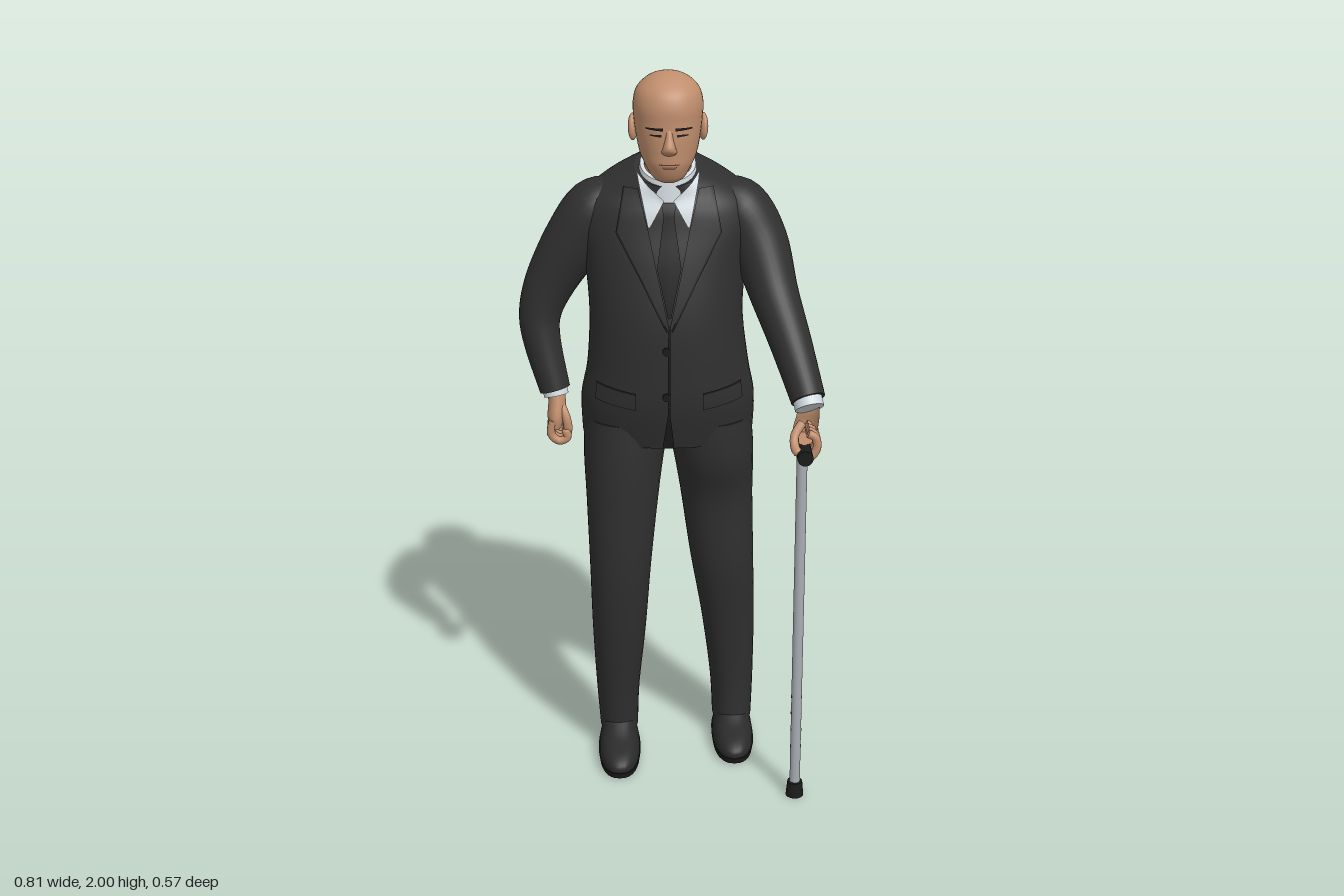
import * as THREE from 'three';

const mat = (name, color, side = THREE.FrontSide) => {
  const m = new THREE.MeshStandardMaterial({ color, side });
  m.name = name;
  return m;
};

export function createModel() {
  const M = {
    suit: mat('charcoal suit', 0x2f2f2f, THREE.DoubleSide),
    trim: mat('black trim', 0x1b1b1c, THREE.DoubleSide),
    shoe: mat('shoe leather', 0x2a2a2b),
    skin: mat('skin', 0xc08e6d),
    lips: mat('lips', 0x94604c, THREE.DoubleSide),
    shirt: mat('shirt white', 0xd3dbe0, THREE.DoubleSide),
    metal: mat('cane metal', 0xa6aab0),
  };
  const root = new THREE.Group();
  const add = (name, geo, material, parent = root) => {
    const mesh = new THREE.Mesh(geo, material);
    mesh.name = name;
    parent.add(mesh);
    return mesh;
  };

  // Catmull-Rom through rows of numbers
  const smooth = (rows, sub) => {
    const out = [], n = rows.length - 1;
    for (let i = 0; i <= n * sub; i++) {
      const k = Math.min(Math.floor(i / sub), n - 1), t = i / sub - k;
      const [a, b, c, d] = [k - 1, k, k + 1, k + 2].map(j => rows[Math.max(0, Math.min(n, j))]);
      out.push(b.map((_, q) => 0.5 * (2 * b[q] + (c[q] - a[q]) * t
        + (2 * a[q] - 5 * b[q] + 4 * c[q] - d[q]) * t * t
        + (3 * b[q] - a[q] - 3 * c[q] + d[q]) * t * t * t)));
    }
    return out;
  };

  // Loft of superellipse sections [x, y, z, rx, rz, tilt]; "along" turns rings to the path
  const loft = (sections, { along = false, power = 2, seg = 32, sub = 5 } = {}) => {
    const rows = smooth(sections.map(s => [...s, 0].slice(0, 6)), sub);
    const pos = [], idx = [], N = rows.length;
    const rings = rows.map((r, i) => {
      const c = new THREE.Vector3(r[0], r[1], r[2]);
      const p = rows[Math.max(0, i - 1)], q = rows[Math.min(N - 1, i + 1)];
      const T = along ? new THREE.Vector3(q[0] - p[0], q[1] - p[1], q[2] - p[2]).normalize()
        : new THREE.Vector3(0, 1, 0);
      const u = new THREE.Vector3(0, 0, 1).cross(T).normalize(), v = u.clone().cross(T);
      const pe = x => Math.sign(x) * Math.abs(x) ** (2 / power);
      return Array.from({ length: seg }, (_, j) => {
        const a = j / seg * Math.PI * 2;
        const w = c.clone().addScaledVector(u, pe(Math.cos(a)) * r[3]).addScaledVector(v, pe(Math.sin(a)) * r[4]);
        w.y += r[5] * (w.z - c.z);
        return w;
      });
    });
    rings.forEach(ring => ring.forEach(w => pos.push(w.x, w.y, w.z)));
    for (let i = 0; i < N - 1; i++) for (let j = 0; j < seg; j++) {
      const a = i * seg + j, b = i * seg + (j + 1) % seg;
      idx.push(a, a + seg, b, b, a + seg, b + seg);
    }
    [0, N - 1].forEach(i => {
      const s = pos.length / 3;
      rings[i].forEach(w => pos.push(w.x, w.y, w.z));
      pos.push(...rows[i].slice(0, 3));
      for (let j = 0; j < seg; j++) {
        const k = (j + 1) % seg;
        idx.push(s + seg, ...(i ? [s + k, s + j] : [s + j, s + k]));
      }
    });
    return build(pos, idx);
  };
  const build = (pos, idx) => {
    const g = new THREE.BufferGeometry();
    g.setAttribute('position', new THREE.Float32BufferAttribute(pos, 3));
    g.setIndex(idx);
    g.computeVertexNormals();
    return g;
  };

  // Thin cloth patch between two [x, y] edges, laid on the front or back of other meshes
  const ray = new THREE.Raycaster();
  const patch = (A, B, targets, lift = 0.006, dir = 1) => {
    const at = (P, t) => {
      const f = t * (P.length - 1), k = Math.min(Math.floor(f), P.length - 2);
      return [0, 1].map(q => P[k][q] + (P[k + 1][q] - P[k][q]) * (f - k));
    };
    const R = 12, C = 6, pos = [], idx = [];
    for (let i = 0; i <= R; i++) for (let j = 0; j <= C; j++) {
      const [x, y] = at([at(A, i / R), at(B, i / R)], j / C);
      ray.set(new THREE.Vector3(x, y, 2 * dir), new THREE.Vector3(0, 0, -dir));
      const hit = ray.intersectObjects(targets, false)[0];
      pos.push(x, y, (hit ? hit.point.z : -0.06) + lift * dir);
      if (i < R && j < C) {
        const a = i * (C + 1) + j, b = a + C + 1;
        idx.push(...(dir > 0 ? [a, b, a + 1, a + 1, b, b + 1] : [a, a + 1, b, a + 1, b + 1, b]));
      }
    }
    return build(pos, idx);
  };
  const flip = (P, s) => P.map(([x, y]) => [x * s, y]);
  const pair = (name, A, B, targets, material, lift) => [-1, 1].forEach(s => {
    const [a, b] = [flip(A, s), flip(B, s)];
    add(name, s < 0 ? patch(a, b, targets, lift) : patch(b, a, targets, lift), material);
  });

  // Trousers
  add('rightTrouserLeg', loft([[-.143, .065, -.095, .055, .085], [-.145, .2, -.083, .062, .088],
    [-.14, .4, -.057, .076, .094], [-.135, .6, -.042, .086, .1], [-.128, .8, -.06, .1, .118],
    [-.122, .93, -.095, .112, .15], [-.11, 1.05, -.105, .12, .15]], { power: 2.2 }), M.suit);
  add('leftTrouserLeg', loft([[.19, .065, -.15, .057, .092], [.188, .2, -.15, .063, .09],
    [.175, .4, -.133, .076, .093], [.155, .6, -.113, .09, .103], [.138, .8, -.12, .102, .118],
    [.127, .93, -.11, .113, .145], [.11, 1.05, -.105, .12, .15]], { power: 2.2 }), M.suit);

  // Shoes
  [['rightShoe', -.143, -.018], ['leftShoe', .19, -.09]].forEach(([name, x, z]) => {
    add(name + 'Sole', loft([[x, .004, z, .058, .152], [x, .022, z, .061, .157]], { power: 2.4 }), M.trim);
    add(name, loft([[x, .02, z, .059, .154], [x, .04, z, .058, .15], [x, .06, z - .012, .053, .132],
      [x, .08, z - .04, .048, .098], [x, .11, z - .065, .045, .07]], { power: 2.3 }), M.shoe);
  });

  // Jacket body
  const jacket = add('jacketBody', loft([[0, .99, -.115, .236, .165], [0, 1.1, -.1, .238, .175],
    [0, 1.2, -.092, .22, .172], [-.005, 1.35, -.092, .208, .167], [-.005, 1.5, -.105, .22, .152],
    [0, 1.6, -.115, .238, .138, -.1], [0, 1.665, -.115, .215, .125, -.2],
    [0, 1.71, -.11, .155, .105, -.3], [0, 1.742, -.09, .088, .086, -.4]],
  { power: 2.25, seg: 48 }), M.suit);

  // Sleeves
  add('rightSleeve', loft([[-.13, 1.655, -.125, .05, .06], [-.19, 1.62, -.13, .08, .09],
    [-.25, 1.53, -.13, .083, .088], [-.315, 1.42, -.125, .07, .072], [-.347, 1.33, -.115, .058, .062],
    [-.343, 1.25, -.1, .051, .056], [-.31, 1.12, -.072, .042, .048]], { along: true }), M.suit);
  add('leftSleeve', loft([[.13, 1.655, -.12, .05, .06], [.19, 1.62, -.12, .08, .09],
    [.243, 1.53, -.09, .08, .088], [.282, 1.41, -.015, .066, .07], [.322, 1.3, .075, .056, .06],
    [.363, 1.175, .17, .046, .05]], { along: true }), M.suit);

  // Shirt cuffs and collar
  add('rightCuff', loft([[-.313, 1.135, -.075, .034, .04], [-.307, 1.105, -.068, .034, .04]], { along: true }), M.shirt);
  add('leftCuff', loft([[.36, 1.18, .165, .039, .042], [.366, 1.155, .183, .039, .042]], { along: true }), M.shirt);
  const collar = add('shirtCollar', loft([[0, 1.7, -.085, .083, .086, -.4], [0, 1.752, -.083, .074, .079, -.4]]), M.shirt);

  // Jacket front and back details
  const body = [jacket];
  add('tie', patch([[-.02, 1.665], [-.014, 1.63], [-.032, 1.5], [-.004, 1.37]],
    [[.02, 1.665], [.014, 1.63], [.032, 1.5], [.004, 1.37]], body, .005), M.trim);
  pair('lapel', [[-.115, 1.7], [-.135, 1.59], [-.07, 1.47], [-.006, 1.34]],
    [[-.08, 1.7], [-.055, 1.6], [-.03, 1.48], [0, 1.34]], body, M.suit, .009);
  pair('lapelEdge', [[-.119, 1.7], [-.14, 1.588], [-.075, 1.468], [-.009, 1.335]],
    [[-.112, 1.7], [-.13, 1.59], [-.067, 1.47], [-.005, 1.335]], body, M.trim, .007);
  pair('collarWing', [[-.083, 1.735], [-.055, 1.605]], [[-.012, 1.672], [-.05, 1.605]], [jacket, collar], M.shirt, .012);
  pair('pocketFlap', [[-.195, 1.17], [-.2, 1.125]], [[-.09, 1.155], [-.09, 1.11]], body, M.suit, .008);
  pair('pocketSeam', [[-.195, 1.175], [-.195, 1.169]], [[-.09, 1.16], [-.09, 1.154]], body, M.trim, .009);
  add('frontClosure', patch([[-.004, 1.35], [-.004, 1.1], [-.018, .995]],
    [[.002, 1.35], [.002, 1.1], [.014, .995]], body, .004), M.trim);
  add('backVent', patch([[-.004, 1.2], [-.007, .995]], [[.004, 1.2], [.007, .995]], body, .004, -1), M.trim);
  [1.28, 1.15].forEach(y => {
    const b = add('button', new THREE.CylinderGeometry(.011, .011, .008, 16), M.trim);
    b.rotation.x = Math.PI / 2;
    b.position.set(-.008, y, .082);
  });

  // Head and neck
  add('neck', loft([[0, 1.68, -.085, .066, .068], [0, 1.75, -.08, .063, .066], [0, 1.83, -.075, .065, .07]]), M.skin);
  const head = add('head', loft([[0, 1.722, -.005, .02, .02], [0, 1.735, -.01, .042, .045],
    [0, 1.77, -.03, .064, .08], [0, 1.8, -.05, .077, .102], [0, 1.84, -.057, .085, .11],
    [0, 1.88, -.062, .09, .113], [0, 1.92, -.063, .092, .113], [0, 1.955, -.063, .083, .1],
    [0, 1.98, -.063, .06, .072], [0, 1.994, -.063, .033, .04], [0, 2, -.063, .003, .003]],
  { power: 2.15, seg: 40 }), M.skin);
  add('nose', loft([[0, 1.803, .045, .012, .008], [0, 1.812, .05, .02, .018], [0, 1.826, .053, .016, .021],
    [0, 1.85, .049, .01, .012], [0, 1.872, .043, .009, .007]], { seg: 20 }), M.skin);
  [-1, 1].forEach(s => {
    const ear = add('ear', new THREE.SphereGeometry(1, 20, 14), M.skin);
    ear.scale.set(.012, .036, .022);
    ear.position.set(s * .092, 1.852, -.072);
    ear.rotation.set(-.2, s * .3, 0);
  });
  const face = [head];
  pair('eyebrow', [[-.06, 1.874], [-.06, 1.87]], [[-.016, 1.876], [-.016, 1.868]], face, M.trim, .004);
  pair('eye', [[-.05, 1.857], [-.05, 1.854]], [[-.02, 1.859], [-.02, 1.852]], face, M.trim, .003);
  add('mouth', patch([[-.027, 1.781], [-.027, 1.778]], [[.027, 1.781], [.027, 1.778]], face, .004), M.lips);
  add('lowerLip', patch([[-.02, 1.774], [-.014, 1.768]], [[.02, 1.774], [.014, 1.768]], face, .004), M.lips);

  // Hands
  const finger = (name, pts, r) => add(name, loft(
    [...pts.map(p => [...p, r, r]), [...pts.at(-1).map((c, i) => c + (c - pts.at(-2)[i]) * .2), r * .4, r * .4]],
    { along: true, seg: 12, sub: 4 }), M.skin);
  add('rightPalm', loft([[-.31, 1.13, -.072, .024, .03], [-.305, 1.09, -.064, .024, .034],
    [-.308, 1.05, -.06, .024, .042], [-.312, 1.02, -.06, .019, .04]], { along: true }), M.skin);
  add('leftPalm', loft([[.363, 1.18, .17, .03, .03], [.362, 1.14, .188, .03, .034],
    [.355, 1.105, .195, .032, .046], [.35, 1.075, .195, .026, .046]]), M.skin);
  for (let i = 0; i < 4; i++) {
    const a = -.093 + i * .022, b = .155 + i * .023;
    finger('rightFinger', [[-.316, 1.045, a], [-.322, 1.005, a], [-.3, .985, a], [-.278, .995, a], [-.282, 1.015, a]], .0115);
    finger('leftFinger', [[.36, 1.1, b], [.38, 1.088, b], [.384, 1.06, b], [.372, 1.037, b], [.356, 1.033, b]], .0115);
  }
  finger('rightThumb', [[-.295, 1.085, -.05], [-.28, 1.05, -.034], [-.275, 1.015, -.034]], .012);
  finger('leftThumb', [[.345, 1.12, .2], [.325, 1.095, .222], [.324, 1.07, .245], [.332, 1.06, .26]], .012);

  // Walking cane
  const cane = new THREE.Group();
  cane.name = 'cane';
  root.add(cane);
  const grip = add('caneHandle', new THREE.CylinderGeometry(.021, .021, .16, 20), M.trim, cane);
  grip.rotation.x = Math.PI / 2;
  grip.position.set(.349, 1.052, .202);
  const top = new THREE.Vector3(.349, 1.05, .188), foot = new THREE.Vector3(.349, .02, .223);
  const shaft = add('caneShaft', new THREE.CylinderGeometry(.0145, .0145, top.distanceTo(foot), 20), M.metal, cane);
  shaft.position.copy(top).lerp(foot, .5);
  shaft.quaternion.setFromUnitVectors(new THREE.Vector3(0, 1, 0), top.clone().sub(foot).normalize());
  add('caneTip', new THREE.CylinderGeometry(.021, .025, .044, 20), M.trim, cane).position.set(.349, .022, .223);
  for (let i = 0; i < 4; i++) {
    const hole = add('adjustmentHole', new THREE.CylinderGeometry(.005, .005, .03, 10), M.trim, cane);
    hole.rotation.z = Math.PI / 2;
    hole.position.copy(foot).lerp(top, .13 + i * .05);
  }
  return root;
}
